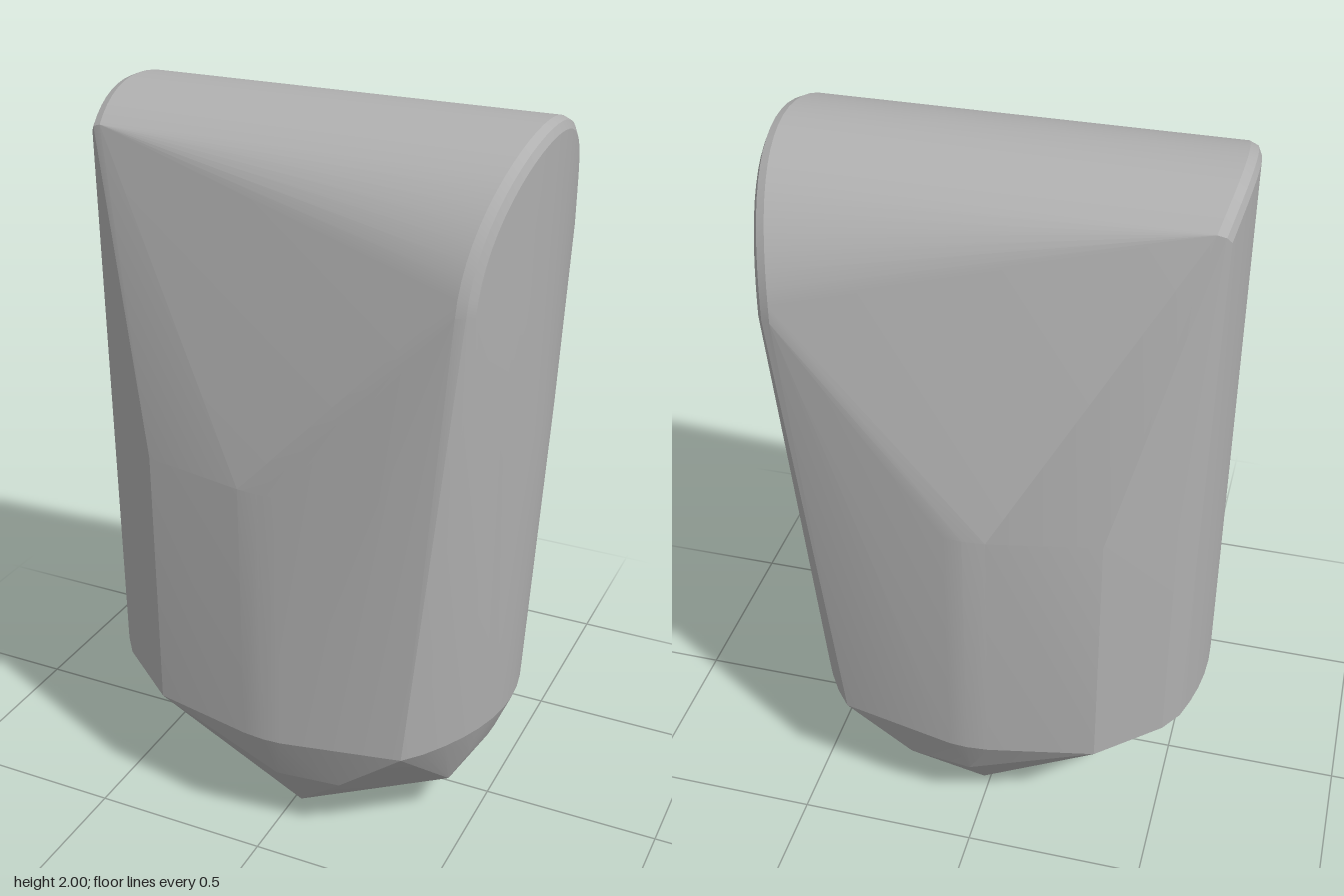
import * as THREE from 'three';
import { ConvexGeometry } from 'three/addons/geometries/ConvexGeometry.js';
import { toCreasedNormals } from 'three/addons/utils/BufferGeometryUtils.js';

export function createModel() {
  const group = new THREE.Group();
  const grey = new THREE.MeshStandardMaterial({ color: 0xb0b0b0 });
  grey.name = 'grey';

  const points = [];
  const add = (x, y, z) => points.push(new THREE.Vector3(x, y, z));
  const mirrored = (x, y, z) => { add(x, y, z); add(x, y, -z); };

  // Bowed cross-section: x0 in the middle, bending by bow * z * z towards the sides
  const bowedRow = (x0, y, bow, halfWidth, n = 12) => {
    for (let i = 0; i <= n; i++) {
      const z = halfWidth * (2 * i / n - 1);
      add(x0 + bow * z * z, y, z);
    }
  };

  // Rounded crown arches with a softened rim at both ends
  const radius = 0.41, centreY = 1.59;
  const arch = (x0, bow, maxZ, inset, steps) => {
    const a = Math.asin(maxZ / radius);
    for (let i = 0; i <= steps; i++) {
      const t = a * (2 * i / steps - 1), r = radius - inset;
      const z = r * Math.sin(t);
      add(x0 + bow * z * z, centreY + r * Math.cos(t), z);
    }
  };
  for (const [back, inset] of [[0, 0.03], [0.009, 0.009], [0.03, 0]]) {
    arch(0.595 - back, -0.42, 0.408, inset, 28);
    arch(-0.595 + back, 0.5, 0.24, inset, 14);
  }

  // Wide end, tapering below
  bowedRow(0.595, 1.2, -0.77, 0.32);
  bowedRow(0.555, 0.35, -1.03, 0.35);
  bowedRow(0.51, 0.24, -0.9, 0.15, 6);
  mirrored(0.385, 0.35, 0.4);
  mirrored(0.435, 0.14, 0.16);

  // Narrow end
  bowedRow(-0.595, 0.39, 0.78, 0.24, 8);
  mirrored(-0.51, 0.38, 0.29);
  mirrored(-0.51, 1.1, 0.29);
  mirrored(-0.39, 0.2, 0.15);

  // Broad side facets
  for (const y of [0.35, 1.1]) {
    mirrored(-0.34, y, 0.407);
    mirrored(-0.05, y, 0.465);
    mirrored(0.01, y, 0.47);
    mirrored(0.06, y, 0.467);
  }

  // Lower flanks and the chisel edge
  mirrored(0.02, 0.2, 0.41);
  mirrored(0.2, 0.2, 0.39);
  mirrored(0.02, 0, 0.26);

  const body = new THREE.Mesh(toCreasedNormals(new ConvexGeometry(points), 0.2), grey);
  body.name = 'facetedBody';
  group.add(body);
  return group;
}
